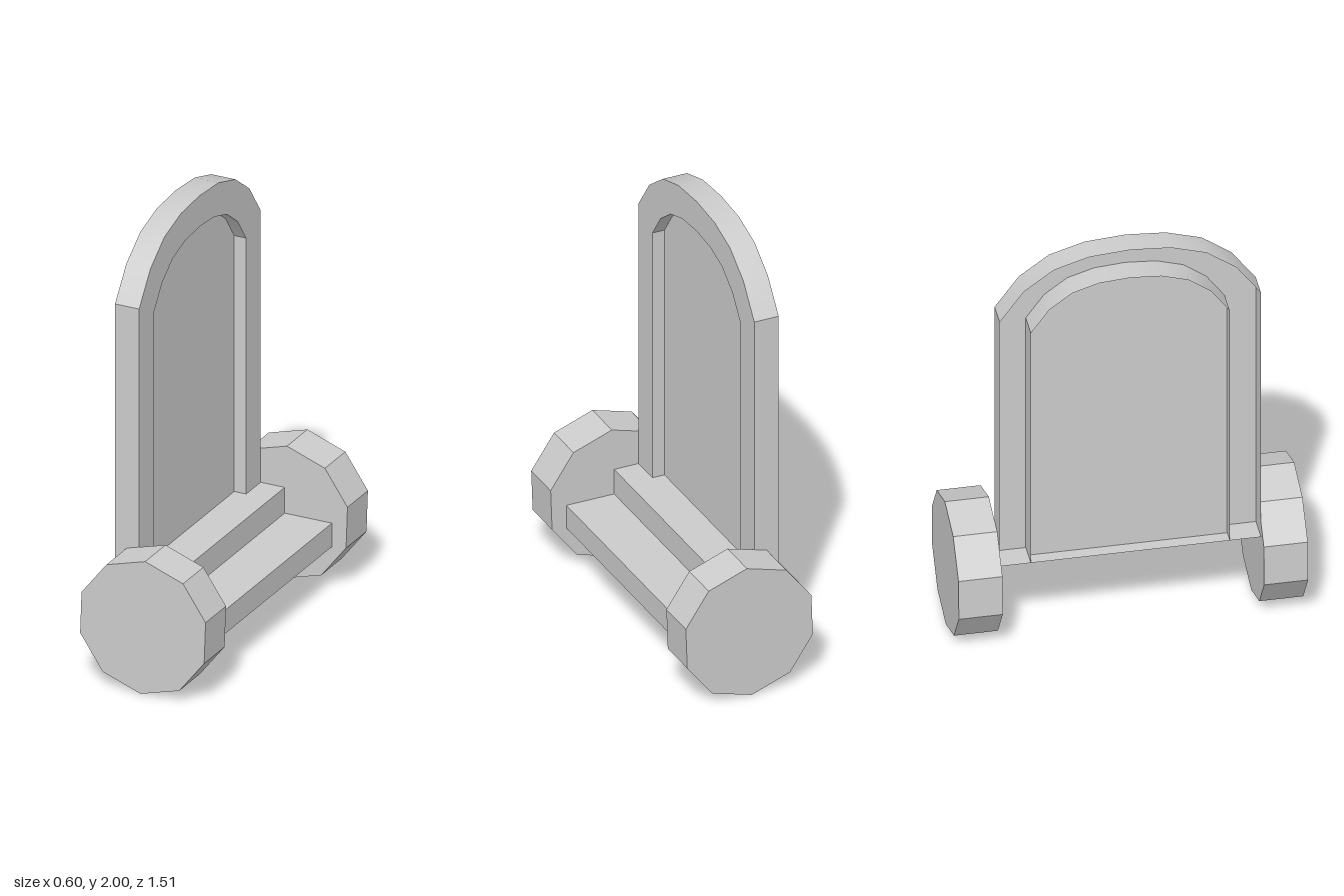
import * as THREE from 'three';
import { toCreasedNormals } from 'three/addons/utils/BufferGeometryUtils.js';

const material = new THREE.MeshStandardMaterial({ color: 0xcccccc, side: THREE.DoubleSide });
const BACK = -0.23, FRONT = -0.115, PANEL = -0.172, BASE = 0.43, HALF = 0.565;

function addMesh(parent, name, geometry) {
  const mesh = new THREE.Mesh(geometry, material);
  mesh.name = name;
  parent.add(mesh);
  return mesh;
}

// Strip of quads between two matching rows of points
function ribbon(a, b) {
  const positions = [];
  for (let i = 0; i < a.length - 1; i++) {
    for (const p of [a[i], b[i], b[i + 1], a[i], b[i + 1], a[i + 1]]) positions.push(...p);
  }
  const geometry = new THREE.BufferGeometry();
  geometry.setAttribute('position', new THREE.Float32BufferAttribute(positions, 3));
  return toCreasedNormals(geometry, 0.55);
}

// Arched outline as [z, y] points, from the left foot over the top to the right foot
function archOutline(halfWidth, spring, rise) {
  const curve = [[1, 0], [0.814, 0.483], [0.584, 0.8], [0.312, 0.957]];
  const side = curve.map(([z, y]) => [z * halfWidth, spring + y * rise]);
  const mirrored = side.map(([z, y]) => [-z, y]).reverse();
  return [[halfWidth, BASE], ...side, [0, spring + rise], ...mirrored, [-halfWidth, BASE]];
}

// Wall running along an outline, from the back to the front of the frame
function wall(outline) {
  return ribbon(outline.map(([z, y]) => [BACK, y, z]), outline.map(([z, y]) => [FRONT, y, z]));
}

// Flat face turned towards +x
function face(outline, x) {
  const shape = new THREE.Shape(outline.map(([z, y]) => new THREE.Vector2(-z, y)));
  return new THREE.ShapeGeometry(shape).rotateY(Math.PI / 2).translate(x, 0, 0);
}

export function createModel() {
  const model = new THREE.Group();
  model.name = 'archedBoardOnRollers';

  // Arched frame, open at the back, with a panel set halfway into it
  const outer = archOutline(HALF, 1.7, 0.3);
  const inner = archOutline(0.43, 1.625, 0.23);
  const board = new THREE.Group();
  board.name = 'archedBoard';
  model.add(board);
  addMesh(board, 'outerWall', wall(outer));
  addMesh(board, 'innerWall', wall([...inner].reverse()));
  addMesh(board, 'frameFace', face([...outer, ...[...inner].reverse()], FRONT));
  addMesh(board, 'panel', face(inner, PANEL));

  // Stepped base, an open shell between the end discs
  const steps = [[BACK, BASE], [0, BASE], [0, 0.31], [0.225, 0.31], [0.225, 0.2]];
  addMesh(model, 'steppedBase', ribbon(
    steps.map(([x, y]) => [x, y, -HALF]),
    steps.map(([x, y]) => [x, y, HALF])
  ));

  // Ten-sided end discs
  const disc = toCreasedNormals(
    new THREE.CylinderGeometry(0.311, 0.311, 0.19, 10).rotateX(Math.PI / 2).rotateZ(-0.035), 0.5);
  for (const side of [1, -1]) {
    addMesh(model, side > 0 ? 'frontDisc' : 'backDisc', disc).position.set(0, 0.314, side * 0.66);
  }

  return model;
}
